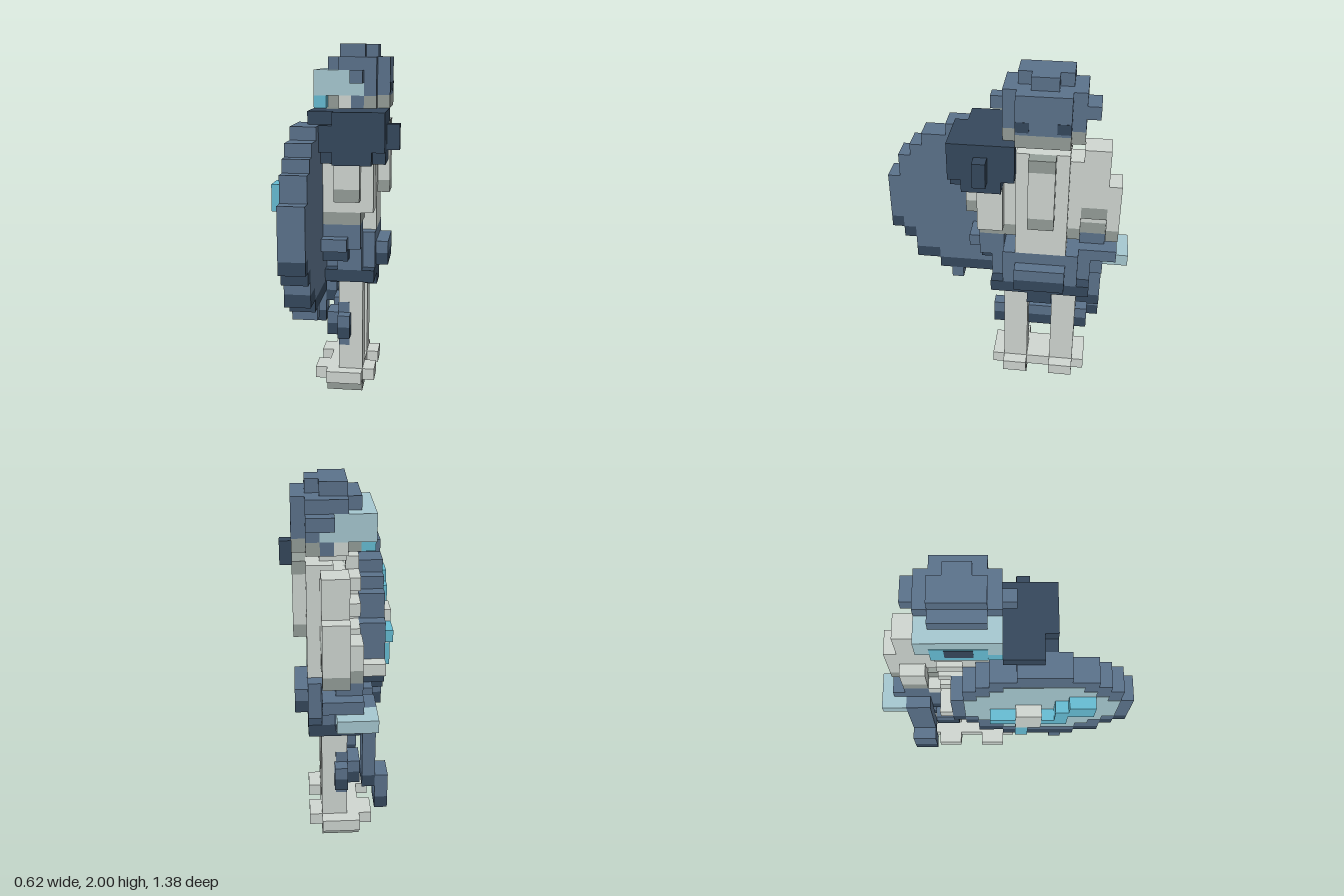
import * as THREE from 'three';

const V = 2 / 29; // edge of one block
const mat = (name, color) => Object.assign(new THREE.MeshStandardMaterial({ color }), { name });

export function createModel() {
  const root = new THREE.Group();
  root.name = 'blockWarrior';
  const blue = mat('steel blue', 0x5b728b);
  const navy = mat('dark navy', 0x35485c);
  const bone = mat('bone', 0xcfd6d1);
  const shade = mat('grey bone', 0x949d98);
  const pale = mat('pale teal', 0xa6c8d0);
  const teal = mat('bright teal', 0x66bcd3);

  let part = root;
  const group = (name) => {
    part = new THREE.Group();
    part.name = name;
    root.add(part);
  };
  // Box between block-grid bounds: x 0..9, y 0..29, z 0..20
  const box = (name, m, x0, x1, y0, y1, z0, z1) => {
    const g = new THREE.BoxGeometry((x1 - x0) * V, (y1 - y0) * V, (z1 - z0) * V);
    g.translate(((x0 + x1) / 2 - 4.5) * V, ((y0 + y1) / 2) * V, ((z0 + z1) / 2 - 10) * V);
    const mesh = new THREE.Mesh(g, m);
    mesh.name = name;
    part.add(mesh);
  };

  // Legs with plus-shaped feet and knee guards
  for (const [side, z] of [['right', 4], ['left', 8]]) {
    group(side + 'Leg');
    box('sole', shade, 3, 6, 0, 1, z, z + 2);
    box('footLong', bone, 2, 7, 1, 2, z, z + 2);
    box('footWide', bone, 3, 6, 1, 2, z - 1, z + 3);
    box('shin', bone, 4, 6, 2, 10, z, z + 2);
    box('kneeTop', blue, 4, 5, 6, 7, z - 1, z + 3);
    box('kneeBottom', navy, 4, 5, 5, 6, z - 1, z + 3);
    box('kneeFrontTop', blue, 3, 4, 6, 7, z, z + 2);
    box('kneeFrontBottom', navy, 3, 4, 5, 6, z, z + 2);
    box('kneePaint', blue, 3.98, 4.9, 4.1, 7.9, z - 0.02, z + 2.02);
  }

  // Hips and skirt
  group('hips');
  box('belt', blue, 3, 7, 11, 14, 4, 10);
  box('hipSides', blue, 4, 6, 11, 13, 3, 11);
  box('skirt', navy, 3, 7, 10, 11, 3, 11);
  box('skirtFlap', navy, 3, 7, 9, 10, 6, 8);
  box('backPouch', blue, 7, 8, 12, 13, 5, 9);
  box('backPouchBase', navy, 7, 8, 11, 12, 5, 9);
  box('frontPouch', blue, 2, 3, 11, 13, 5, 7);

  // Torso
  group('torso');
  box('spine', bone, 5, 7, 14, 23, 5, 9);
  box('spineRidge', bone, 7, 8, 18, 22, 6, 8);
  box('spineRidgeTop', shade, 7, 8, 22, 23, 6, 8);
  box('spineRidgeBase', shade, 7, 8, 17, 18, 6, 8);
  box('neck', bone, 4, 6, 23, 24, 6, 8);
  box('ribCore', shade, 4, 5, 16, 22, 5, 9);
  box('ribCage', bone, 5, 6, 16, 22, 4, 10);
  box('ribCageBase', shade, 4, 6, 15, 16, 4, 10);
  for (const y of [15, 17, 19, 21]) {
    box('rib', bone, 3, 5, y, y + 1, 5, 7);
    box('rib', bone, 3, 5, y, y + 1, 8, 10);
    if (y > 15) box('ribSide', bone, 4, 5, y, y + 1, 4, 10);
  }
  box('sternum', bone, 3, 4, 18, 23, 7, 8);
  box('lowRib', bone, 3, 4, 14, 15, 4, 5);
  box('lowRibTip', bone, 1, 3, 14, 15, 5, 6);

  // Right arm, hand and hanging blade
  group('rightArm');
  box('upperArm', bone, 4, 6, 18, 23, 2, 4);
  box('shoulderJoint', bone, 4, 6, 17, 22, 4, 5);
  box('forearmOuter', bone, 4, 6, 16, 20, 1, 2);
  box('forearmFront', bone, 3, 4, 16, 18, 2, 4);
  box('forearmInner', bone, 4, 5, 16, 18, 2, 4);
  box('upperArmBase', shade, 5, 6, 17, 18, 2, 4);
  box('wristOuter', shade, 4, 6, 15, 16, 1, 2);
  box('wristInner', shade, 3, 5, 15, 16, 2, 4);
  box('glove', blue, 3, 6, 13, 14, 1, 4);
  box('gloveTop', blue, 3, 5, 14, 15, 2, 4);
  box('gloveBase', blue, 3, 5, 11, 13, 2, 4);
  group('sword');
  box('guard', pale, 2, 5, 12, 13, 0, 2);
  box('upperBlade', blue, 2, 3, 7, 13, 2, 4);
  box('bladeStep', navy, 2, 3, 6, 7, 2, 4);
  box('lowerBlade', blue, 1, 2, 5, 7, 2, 4);
  box('bladeTip', navy, 1, 2, 4, 5, 2, 4);

  // Left arm and shoulder pad
  group('leftArm');
  box('arm', bone, 3, 7, 16, 20, 10, 12);
  box('elbow', bone, 4, 6, 18, 20, 12, 13);
  box('elbowBase', shade, 4, 6, 17, 18, 12, 13);
  box('wrist', shade, 3, 6, 15, 16, 10, 12);
  box('glove', blue, 3, 6, 13, 15, 10, 12);
  box('gloveKnuckle', blue, 3, 5, 13, 14, 12, 13);
  box('gloveBase', navy, 3, 5, 12, 13, 10, 12);
  group('shoulderPad');
  box('padTop', navy, 2, 8, 23, 24, 10, 13);
  box('padBody', navy, 3, 8, 20, 23, 10, 13);
  box('padOuter', navy, 4, 8, 21, 24, 13, 14);
  box('padOuterBase', navy, 4, 7, 20, 21, 13, 14);
  box('padOuterFront', navy, 3, 4, 21, 23, 13, 14);
  box('padInner', navy, 7, 8, 21, 24, 9, 10);
  box('padKnob', navy, 8, 9, 21, 23, 11, 12);

  // Head and helmet
  group('head');
  box('jaw', shade, 3, 8, 24, 25, 5, 9);
  box('jawFront', bone, 4, 5, 24, 25, 4, 10);
  box('chinStrap', blue, 5, 6, 24, 25, 4, 10);
  box('jawSides', shade, 6, 7, 24, 25, 4, 10);
  box('visor', pale, 2, 6, 25, 27, 4, 10);
  box('cheek', teal, 2, 3, 24, 25, 5, 10);
  box('facePaint', teal, 1.97, 2, 24, 26, 5, 9);
  box('eyeSlot', navy, 1.94, 1.97, 24.6, 25.8, 6, 8);
  box('helmetBack', blue, 6, 7, 25, 27, 4, 10);
  box('helmetRear', blue, 7, 8, 25, 28, 5, 9);
  box('helmetBrow', blue, 4, 7, 27, 28, 4, 10);
  box('helmetFront', blue, 3, 4, 27, 28, 5, 9);
  box('crown', blue, 4, 6, 28, 29, 5, 9);
  box('crownBack', blue, 6, 7, 28, 29, 6, 8);
  box('rightStud', blue, 5, 7, 26, 27, 3, 4);
  box('leftStud', blue, 5, 6, 26, 27, 10, 11);
  for (const z of [5, 8]) box('rearPaint', navy, 8, 8.02, 25.2, 26, z, z + 1);

  // Round shield in columns, with a painted face inset from the rim
  group('shield');
  const columns = [[9, 23], [9, 23], [9, 22], [10, 22], [10, 21], [12, 20], [13, 18]];
  columns.forEach(([y0, y1], d) => {
    for (const z of [13 + d, 12 - d]) {
      box('shieldColumn', blue, 1, 3, y0 + 1, y1, z, z + 1);
      box('shieldLowerRim', navy, 1, 3, y0, y0 + 1, z, z + 1);
      if (d < 6) {
        const h = Math.round(Math.sqrt(28 - d * d));
        box('shieldFace', pale, 0.96, 1, 16 - h, 16 + h, z, z + 1);
      }
    }
  });
  box('rimNub', blue, 1, 3, 8, 9, 14, 15);

  // Raised diagonal ornament on the shield
  group('shieldOrnament');
  box('centre', bone, 0, 1, 14, 17, 11, 13);
  box('rightBar', teal, 0, 1, 15, 16, 9, 11);
  box('lowerBar', teal, 0, 1, 12, 14, 11, 12);
  box('upperBarInner', teal, 0, 1, 15, 16, 13, 14);
  box('upperBarMiddle', teal, 0, 1, 15, 18, 14, 15);
  box('upperBarOuter', teal, 0, 1, 17, 19, 15, 17);

  return root;
}
